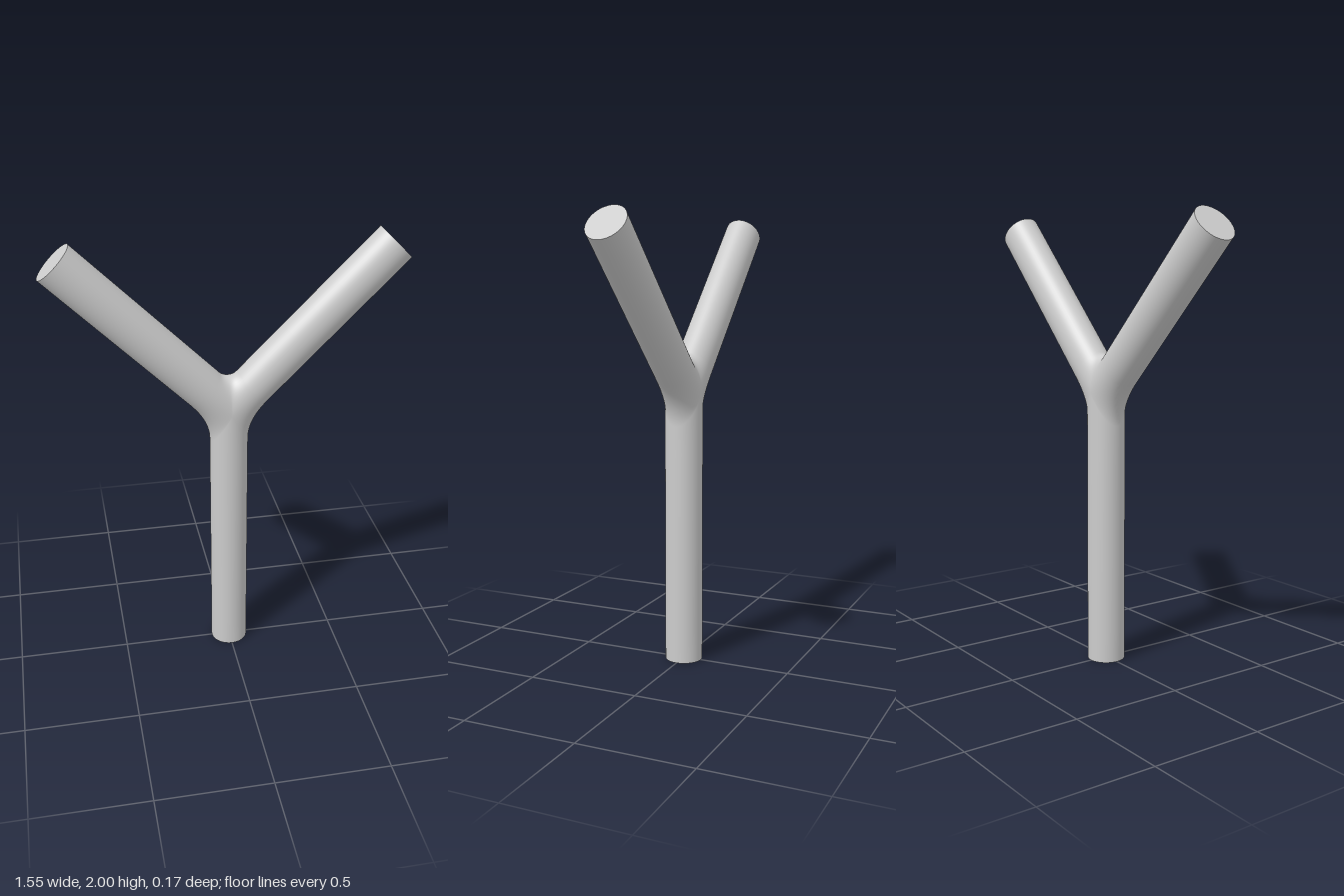
import * as THREE from 'three';
import { mergeVertices } from 'three/addons/utils/BufferGeometryUtils.js';

const R = 0.084;       // radius of the stem, and half depth of everything
const ARM = 0.095;     // half width of an arm
const FORK = 1.225;    // height where the centre lines meet
const ARM_LEN = 1.0;
const BLEND = 0.15;    // distance along an arm where the fillet ends
const N = 48;          // points around
const D = Math.SQRT1_2;

// Point on a straight arm, at a distance along it and an angle around it
function armPoint(dist, phi) {
  const w = Math.sin(phi) * ARM;
  return new THREE.Vector3((dist + w) * D, FORK + (dist - w) * D, R * Math.cos(phi));
}

// Where the arm leaves the stem (outer half) or the mirror plane (inner half)
function startPoint(phi) {
  const w = Math.sin(phi), z = R * Math.cos(phi);
  return w >= 0
    ? new THREE.Vector3(R * w, FORK - 0.145 * w, z)
    : new THREE.Vector3(0, FORK - 0.16 * w, z);
}

// Fillet from the start curve to the straight arm
function filletPoint(t, phi) {
  const w = Math.sin(phi), s = startPoint(phi), e = armPoint(BLEND, phi);
  const corner = w >= 0
    ? new THREE.Vector3(R * w, FORK + R * w - Math.SQRT2 * ARM * w, s.z)
    : new THREE.Vector3((0.16 - Math.SQRT2 * ARM) * -w, s.y, s.z);
  return new THREE.QuadraticBezierCurve3(s, corner, e).getPoint(t);
}

// Add a grid of rows to the surface, mirrored when side is -1
function addGrid(positions, indices, rows, side) {
  const base = positions.length / 3, n = rows[0].length;
  for (const row of rows) for (const p of row) positions.push(p.x * side, p.y, p.z);
  for (let i = 0; i < rows.length - 1; i++) {
    for (let j = 0; j < n - 1; j++) {
      const a = base + i * n + j, b = a + 1, c = a + n, d = c + 1;
      if (side > 0) indices.push(a, b, c, b, d, c);
      else indices.push(a, c, b, b, c, d);
    }
  }
}

function forkSurface() {
  const positions = [], indices = [];
  const ring = (count, f) => Array.from({ length: count + 1 }, (_, j) => f((j / N) * Math.PI * 2));
  // half of the stem
  const stem = [];
  for (let i = 0; i <= 8; i++) {
    stem.push(ring(N / 2, (phi) => {
      const p = startPoint(phi);
      p.y *= i / 8;
      return p;
    }));
  }
  // fillet, then the straight arm
  const arm = [];
  for (let i = 0; i <= 12; i++) arm.push(ring(N, (phi) => filletPoint(i / 12, phi)));
  for (let i = 1; i <= 6; i++) {
    const dist = BLEND + (ARM_LEN - BLEND) * (i / 6);
    arm.push(ring(N, (phi) => armPoint(dist, phi)));
  }
  for (const side of [1, -1]) {
    addGrid(positions, indices, stem, side);
    addGrid(positions, indices, arm, side);
  }
  let geometry = new THREE.BufferGeometry();
  geometry.setAttribute('position', new THREE.Float32BufferAttribute(positions, 3));
  geometry.setIndex(indices);
  geometry = mergeVertices(geometry, 1e-5);
  geometry.computeVertexNormals();
  return geometry;
}

export function createModel() {
  const group = new THREE.Group();
  group.name = 'forkedBranch';
  const material = new THREE.MeshStandardMaterial({ color: 0xcccccc });
  const add = (name, geometry) => {
    const mesh = new THREE.Mesh(geometry, material);
    mesh.name = name;
    group.add(mesh);
    return mesh;
  };

  add('stemAndArms', forkSurface());

  // flat ends
  add('stemEnd', new THREE.CircleGeometry(R, N).rotateX(Math.PI / 2));
  for (const side of [1, -1]) {
    const end = new THREE.CircleGeometry(1, N).scale(ARM, R, 1)
      .rotateX(-Math.PI / 2).rotateZ(-side * Math.PI / 4);
    add(side > 0 ? 'leftArmEnd' : 'rightArmEnd', end)
      .position.set(side * ARM_LEN * D, FORK + ARM_LEN * D, 0);
  }
  return group;
}
